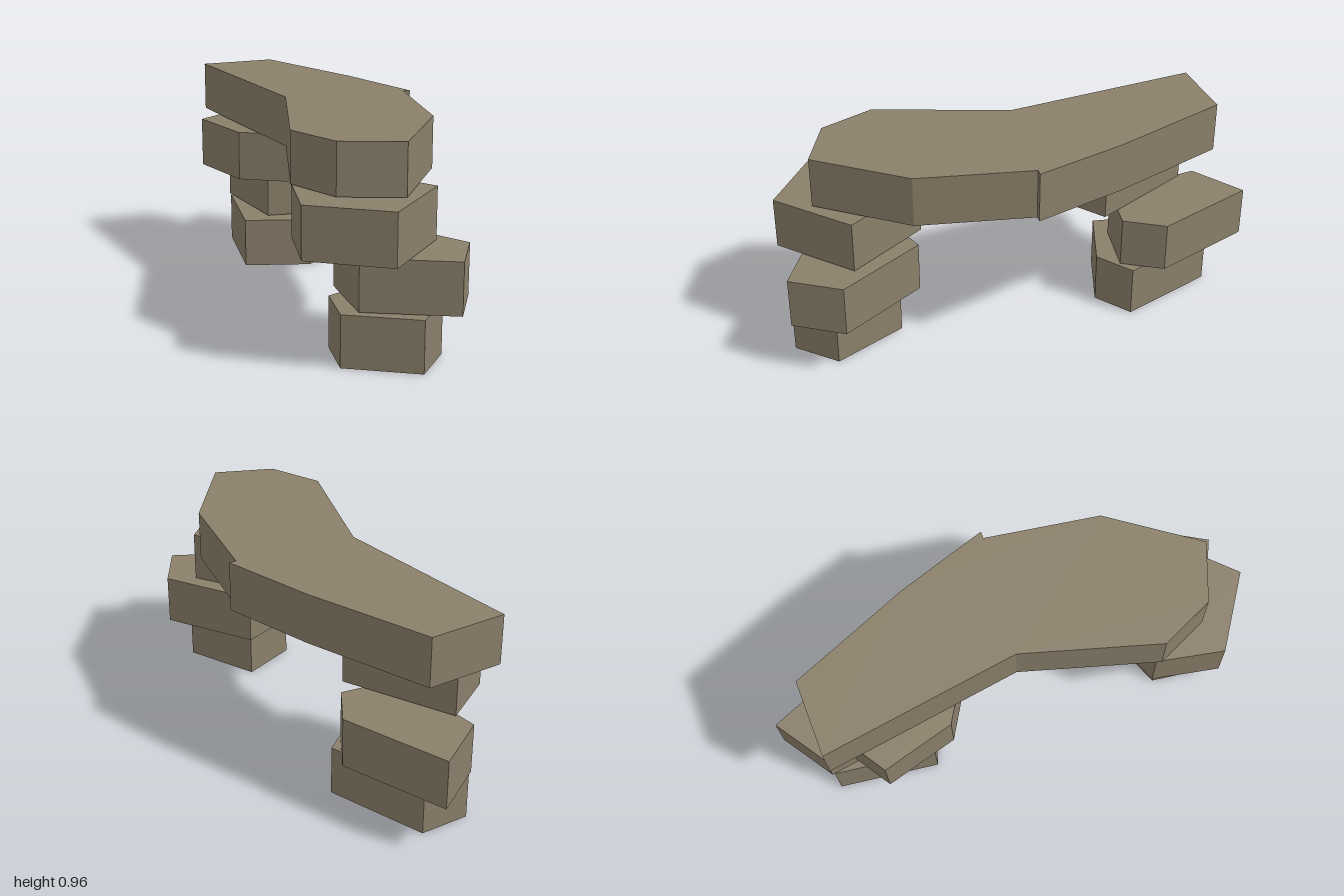
import * as THREE from 'three';

// Upright stone slab: footprint given as [x, z] corners, between two heights
function slab(name, footprint, bottom, top, material) {
  const shape = new THREE.Shape(footprint.map(([x, z]) => new THREE.Vector2(x, -z)));
  const geometry = new THREE.ExtrudeGeometry(shape, { depth: top - bottom, bevelEnabled: false });
  geometry.rotateX(-Math.PI / 2);
  geometry.translate(0, bottom, 0);
  const mesh = new THREE.Mesh(geometry, material);
  mesh.name = name;
  return mesh;
}

// Pillar footprints, lowest block first
const rightPillar = [
  [[-0.93, -0.47], [-0.57, -0.145], [-0.315, -0.35], [-0.325, -0.555], [-0.8, -0.66]],
  [[-0.94, -0.475], [-0.52, -0.27], [-0.333, -0.475], [-0.425, -0.665], [-0.935, -0.77]],
  [[-0.86, -0.165], [-0.525, -0.05], [-0.29, -0.16], [-0.305, -0.395], [-0.85, -0.45]],
];
const leftPillar = [
  [[0.4, 0.49], [0.57, 0.645], [0.89, 0.495], [0.836, 0.265], [0.465, 0.215]],
  [[0.355, 0.39], [0.625, 0.59], [1, 0.38], [0.89, 0.143], [0.42, 0.13]],
  [[0.24, 0.54], [0.46, 0.768], [0.83, 0.622], [0.76, 0.203], [0.32, 0.205]],
];
const levels = [[0, 0.24], [0.245, 0.483], [0.487, 0.725]];

// Bent capstone spanning both pillars
const capstone = [
  [-1, -0.36], [-0.16, 0.05], [0.25, 0.56], [0.52, 0.607], [0.76, 0.445],
  [0.6, -0.015], [0.21, -0.385], [0.23, -0.412], [-0.2, -0.535], [-0.8, -0.658],
];

export function createModel() {
  const model = new THREE.Group();
  model.name = 'stoneArch';
  const stone = new THREE.MeshStandardMaterial({ color: 0x8a7f6a });
  stone.name = 'weatheredStone';

  for (const [name, blocks] of [['rightPillar', rightPillar], ['leftPillar', leftPillar]]) {
    const pillar = new THREE.Group();
    pillar.name = name;
    blocks.forEach((footprint, i) => {
      pillar.add(slab(`${name}Block${i + 1}`, footprint, ...levels[i], stone));
    });
    model.add(pillar);
  }
  model.add(slab('capstone', capstone, 0.73, 0.965, stone));
  return model;
}
